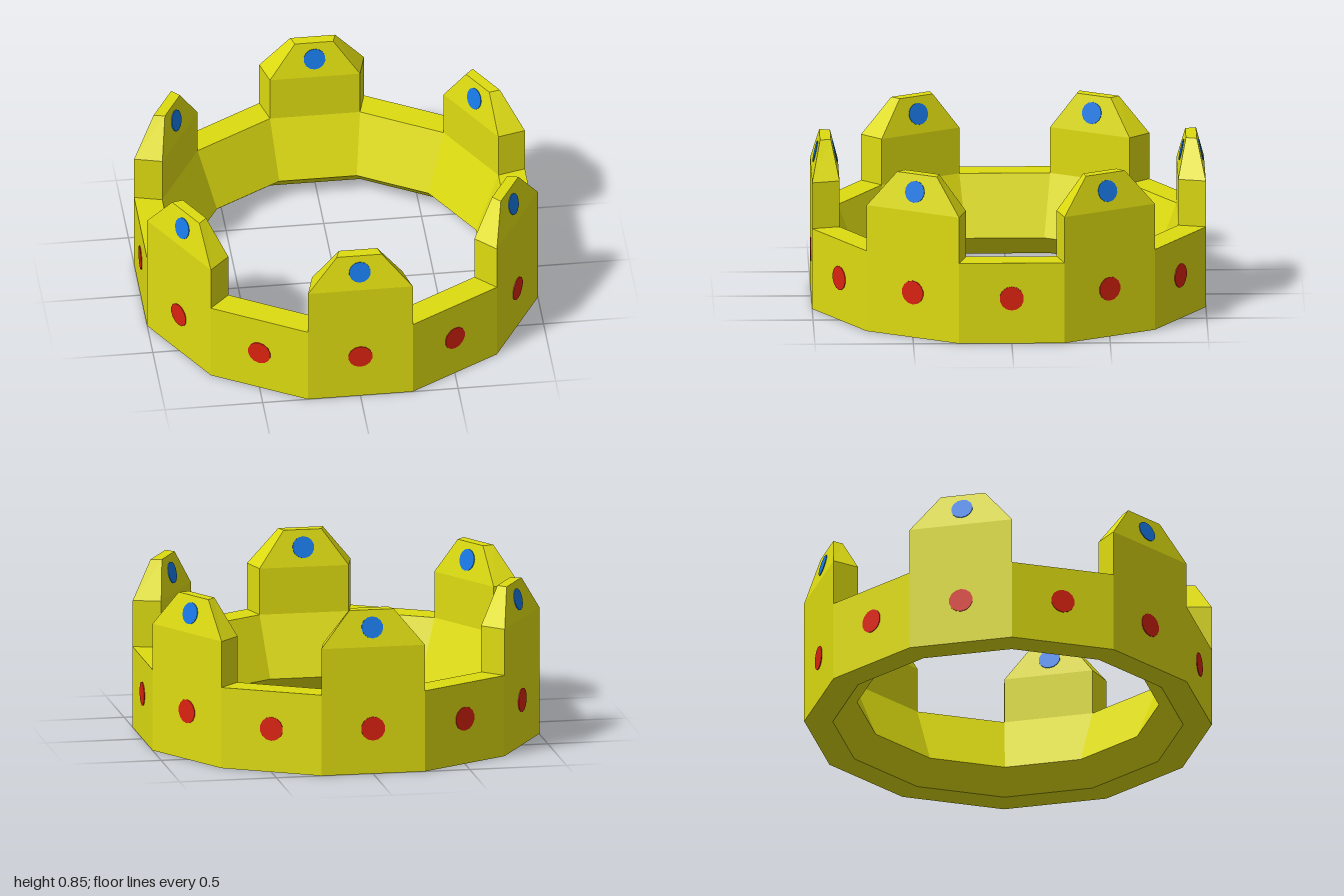
import * as THREE from 'three';

const SIDES = 12;
const STEP = (Math.PI * 2) / SIDES;
const CORNER = 1 / Math.cos(STEP / 2); // flat distance to corner radius

const gold = new THREE.MeshStandardMaterial({ name: 'gold', color: 0xdedc10, flatShading: true });
const ruby = new THREE.MeshStandardMaterial({ name: 'ruby', color: 0xdb220f, flatShading: true });
const sapphire = new THREE.MeshStandardMaterial({ name: 'sapphire', color: 0x1778e4, flatShading: true });

function mesh(name, geometry, material) {
  const m = new THREE.Mesh(geometry, material);
  m.name = name;
  return m;
}

// Twelve-sided ring with a bulging inner wall
function bandGeometry() {
  const profile = [[1, 0], [1, 0.42], [0.86, 0.42], [0.74, 0.11], [0.86, 0], [1, 0]]
    .map(([r, y]) => new THREE.Vector2(r * CORNER, y));
  const g = new THREE.LatheGeometry(profile, SIDES, STEP / 2).toNonIndexed();
  g.computeVertexNormals();
  return g;
}

// Upright tooth lofted through levels: [y, outer z, outer half width, inner z, inner half width]
function toothGeometry() {
  const t = Math.tan(STEP / 2);
  const levels = [
    [0.42, 1, t, 0.86, 0.86 * t],
    [0.66, 1, t, 0.86, 0.86 * t],
    [0.845, 0.957, 0.115, 0.902, 0.098],
  ].map(([y, zo, wo, zi, wi]) => [[-wo, y, zo], [wo, y, zo], [wi, y, zi], [-wi, y, zi]]);
  const pos = [];
  const quad = (a, b, c, d) => pos.push(...a, ...b, ...c, ...a, ...c, ...d);
  for (let i = 0; i < levels.length - 1; i++) {
    for (let k = 0; k < 4; k++) {
      const n = (k + 1) % 4;
      quad(levels[i][k], levels[i][n], levels[i + 1][n], levels[i + 1][k]);
    }
  }
  quad(...levels[levels.length - 1]);
  const g = new THREE.BufferGeometry();
  g.setAttribute('position', new THREE.Float32BufferAttribute(pos, 3));
  g.computeVertexNormals();
  return g;
}

// Thin round gem facing +z
function gemGeometry(radius) {
  return new THREE.CylinderGeometry(radius, radius, 0.008, 14).rotateX(Math.PI / 2);
}

export function createModel() {
  const crown = new THREE.Group();
  crown.name = 'crown';
  crown.add(mesh('band', bandGeometry(), gold));

  const tooth = toothGeometry();
  const redGem = gemGeometry(0.062);
  const blueGem = gemGeometry(0.056);
  // Gem heights vary a little around the band
  const heights = [0.245, 0.22, 0.235, 0.235, 0.25, 0.225, 0.235, 0.235, 0.235, 0.235, 0.225, 0.217];

  for (let i = 0; i < SIDES; i++) {
    const side = new THREE.Group();
    side.name = 'side' + (i + 1);
    side.rotation.y = i * STEP;

    const red = mesh('bandGem', redGem, ruby);
    red.position.set(0, heights[i], 1);
    side.add(red);

    // Every second side carries a tooth with a gem on both slopes
    if (i % 2 === 0) {
      side.add(mesh('tooth', tooth, gold));
      const outer = mesh('outerToothGem', blueGem, sapphire);
      outer.position.set(0, 0.757, 0.9775);
      outer.rotation.x = -Math.atan2(0.043, 0.185);
      const inner = mesh('innerToothGem', blueGem, sapphire);
      inner.position.set(0, 0.757, 0.882);
      inner.rotation.x = Math.atan2(0.042, 0.185);
      side.add(outer, inner);
    }
    crown.add(side);
  }
  return crown;
}
